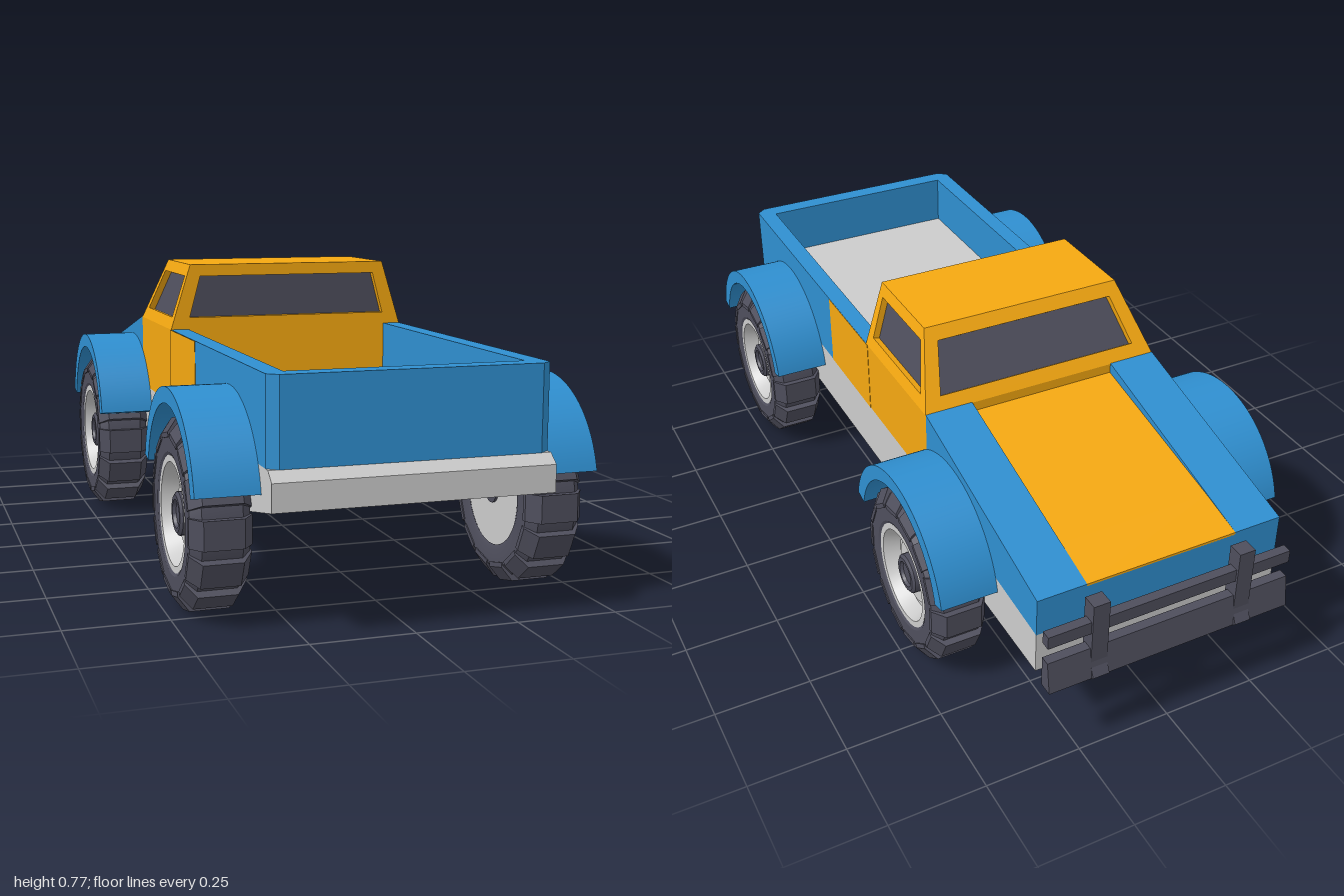
import * as THREE from 'three';
import { toCreasedNormals } from 'three/addons/utils/BufferGeometryUtils.js';

const mat = (color) => new THREE.MeshStandardMaterial({ color });
const grey = mat(0xcccccc), blue = mat(0x2f8fd0), yellow = mat(0xf5a811), dark = mat(0x4e4e5c);

const HALF = 0.335;        // half width of the body
const SILL = 0.383;        // top of the chassis
const BELT = 0.588;        // top of the body sides
const CAB_BACK = 0.055, CAB_FRONT = -0.335, NOSE = -0.925;

function add(parent, name, geometry, material) {
  const mesh = new THREE.Mesh(geometry, material);
  mesh.name = name;
  parent.add(mesh);
  return mesh;
}

const shapeOf = (pts) => new THREE.Shape(pts.map(([a, b]) => new THREE.Vector2(a, b)));

// Side profile given as [z, y] points, extruded from x0 to x1
function prism(pts, x0, x1) {
  return new THREE.ExtrudeGeometry(shapeOf(pts), { depth: x1 - x0, bevelEnabled: false })
    .rotateY(-Math.PI / 2).translate(x1, 0, 0);
}

function box(x0, x1, y0, y1, z0, z1) {
  return new THREE.BoxGeometry(x1 - x0, y1 - y0, z1 - z0)
    .translate((x0 + x1) / 2, (y0 + y1) / 2, (z0 + z1) / 2);
}

// Flat quads, corners counter-clockwise seen from outside
function quads(list) {
  const pos = [];
  for (const [a, b, c, d] of list) for (const p of [a, b, c, a, c, d]) pos.push(p.x, p.y, p.z);
  const g = new THREE.BufferGeometry();
  g.setAttribute('position', new THREE.Float32BufferAttribute(pos, 3));
  g.computeVertexNormals();
  return g;
}

// Cab: four sloping sides, each a frame around a recessed window, and a roof
function makeCab() {
  const cab = new THREE.Group();
  cab.name = 'cab';
  const v = (x, y, z) => new THREE.Vector3(x, y, z);
  const top = 0.765, tx = 0.28, tf = -0.215;
  const low = [v(-HALF, BELT, CAB_BACK), v(HALF, BELT, CAB_BACK), v(HALF, BELT, CAB_FRONT), v(-HALF, BELT, CAB_FRONT)];
  const high = [v(-tx, top, CAB_BACK), v(tx, top, CAB_BACK), v(tx, top, tf), v(-tx, top, tf)];
  const frame = [high], glass = [];
  const names = ['rear', 'left', 'front', 'right'];
  for (let i = 0; i < names.length; i++) {
    const j = (i + 1) % 4;
    const outer = [low[i], low[j], high[j], high[i]];
    const at = (s, t) => low[i].clone().lerp(low[j], s).lerp(high[i].clone().lerp(high[j], s), t);
    const u = i % 2 ? 0.085 : 0.065;
    const rim = [at(u, 0.18), at(1 - u, 0.18), at(1 - u, 0.82), at(u, 0.82)];
    const inward = outer[1].clone().sub(outer[0]).cross(outer[3].clone().sub(outer[0])).setLength(-0.018);
    const pane = rim.map((p) => p.clone().add(inward));
    for (let k = 0; k < 4; k++) {
      const n = (k + 1) % 4;
      frame.push([outer[k], outer[n], rim[n], rim[k]], [rim[k], rim[n], pane[n], pane[k]]);
    }
    glass.push(pane);
  }
  add(cab, 'cabShell', quads(frame), yellow);
  glass.forEach((pane, i) => add(cab, names[i] + 'Window', quads([pane]), dark));
  return cab;
}

function lathe(pts, segments) {
  const g = new THREE.LatheGeometry(pts.map(([r, a]) => new THREE.Vector2(r, a)), segments);
  return toCreasedNormals(g.rotateZ(-Math.PI / 2), 0.45);
}

// Wheel with its axle along x and its outer side towards +x
function makeWheel() {
  const wheel = new THREE.Group();
  wheel.name = 'wheel';
  const W = 0.0725;
  add(wheel, 'tyre', lathe([[0.135, -0.066], [0.145, -W + 0.003], [0.188, -W + 0.003], [0.212, -0.047],
    [0.212, 0.047], [0.188, W - 0.003], [0.145, W - 0.003], [0.132, 0.062]], 42), dark);
  add(wheel, 'rim', lathe([[0, -0.064], [0.138, -0.064], [0.138, 0.066], [0.122, 0.066],
    [0.104, 0.025], [0.092, 0.025], [0.082, 0.034], [0, 0.034]], 36), grey);
  add(wheel, 'hub', lathe([[0.052, 0.02], [0.052, 0.052], [0.044, 0.058], [0.034, 0.058], [0.03, 0.05], [0, 0.05]], 24), dark);
  add(wheel, 'innerHub', lathe([[0, -0.07], [0.03, -0.07], [0.03, -0.06]], 16), dark);
  // Tread blocks
  const lug = new THREE.ExtrudeGeometry(
    shapeOf([[-W, 0.178], [W, 0.178], [W, 0.19], [0.047, 0.225], [-0.047, 0.225], [-W, 0.19]]),
    { depth: 0.068, bevelEnabled: false }).translate(0, 0, -0.034);
  const count = 14;
  for (let i = 0; i < count; i++) {
    add(wheel, 'treadBlock', lug, dark).rotation.x = ((i + 0.5) / count) * Math.PI * 2;
  }
  return wheel;
}

// Arched mudguard, centred on z = 0
function makeMudguard(x0, x1) {
  const a = 0.23, s = new THREE.Shape();
  s.absarc(0, 0, 0.265, a, Math.PI - a, false);
  s.absarc(0, 0, 0.226, Math.PI - a, a, true);
  const g = new THREE.ExtrudeGeometry(s, { depth: x1 - x0, bevelEnabled: false, curveSegments: 28 });
  return toCreasedNormals(g.rotateY(-Math.PI / 2).translate(x1, 0.259, 0), 0.5);
}

export function createModel() {
  const truck = new THREE.Group();
  truck.name = 'pickupTruck';

  // Chassis with the shaped rear bumper
  add(truck, 'chassis', prism([[NOSE, 0.23], [0.68, 0.23], [1, 0.295], [1, 0.36], [0.972, SILL],
    [CAB_FRONT, SILL], [NOSE, 0.342]], -HALF, HALF), grey);

  // Load bed: U-shaped wall with chamfered rear corners, and a floor
  const inner = 0.287, back = 0.975;
  const wall = shapeOf([[-HALF, -CAB_BACK], [-HALF, -0.955], [-0.31, -back], [0.31, -back], [HALF, -0.955],
    [HALF, -CAB_BACK], [inner, -CAB_BACK], [inner, -0.925], [-inner, -0.925], [-inner, -CAB_BACK]]);
  add(truck, 'bedWalls', new THREE.ExtrudeGeometry(wall, { depth: BELT - SILL, bevelEnabled: false })
    .rotateX(-Math.PI / 2).translate(0, SILL, 0), blue);
  add(truck, 'bedFloor', box(-inner, inner, SILL, 0.445, CAB_BACK, 0.925), grey);

  // Middle body, with side panels running back over the bed walls
  add(truck, 'middleBody', box(-HALF, HALF, SILL, BELT, CAB_FRONT, CAB_BACK), yellow);
  for (const s of [-1, 1]) {
    const x = s * HALF;
    add(truck, 'sidePanel', box(x - 0.001, x + 0.001, SILL, BELT - 0.001, CAB_BACK - 0.01, 0.33), yellow);
  }
  truck.add(makeCab());

  // Bonnet: raised side wings and a slightly sunken centre panel
  const mid = 0.205;
  for (const s of [-1, 1]) {
    add(truck, 'frontWing', prism([[NOSE, 0.342], [CAB_FRONT, SILL], [CAB_FRONT, 0.59], [NOSE, 0.445]],
      s > 0 ? mid : -HALF, s > 0 ? HALF : -mid), blue);
  }
  add(truck, 'noseCentre', prism([[NOSE, 0.342], [CAB_FRONT, SILL], [CAB_FRONT, 0.55], [-0.8, 0.466],
    [NOSE, 0.439]], -mid, mid), blue);
  add(truck, 'bonnet', prism([[NOSE, 0.438], [-0.8, 0.465], [CAB_FRONT, 0.549], [CAB_FRONT, 0.562],
    [-0.8, 0.473], [NOSE, 0.445]], -mid, mid), yellow);

  // Bull bar: two cross bars on two posts
  const bar = new THREE.Group();
  bar.name = 'bullBar';
  add(bar, 'upperBar', box(-HALF, HALF, 0.345, 0.38, -0.98, -0.955), dark);
  add(bar, 'lowerBar', prism([[-0.955, 0.215], [-0.955, 0.3], [-0.98, 0.3], [-0.993, 0.215]], -HALF, HALF), dark);
  for (const x of [-0.2, 0.2]) {
    add(bar, 'post', prism([[-0.946, 0.165], [-0.946, 0.43], [-0.986, 0.43], [-0.986, 0.25], [-1, 0.22]],
      x - 0.022, x + 0.022), dark);
  }
  truck.add(bar);

  // Wheels and mudguards
  for (const z of [0.665, -0.475]) {
    for (const s of [-1, 1]) {
      const wheel = makeWheel();
      wheel.position.set(s * 0.4085, 0.226, z);
      if (s < 0) wheel.rotation.y = Math.PI;
      truck.add(wheel);
      add(truck, 'mudguard', s > 0 ? makeMudguard(HALF - 0.01, 0.484) : makeMudguard(-0.484, 0.01 - HALF), blue)
        .position.z = z;
    }
  }
  return truck;
}
